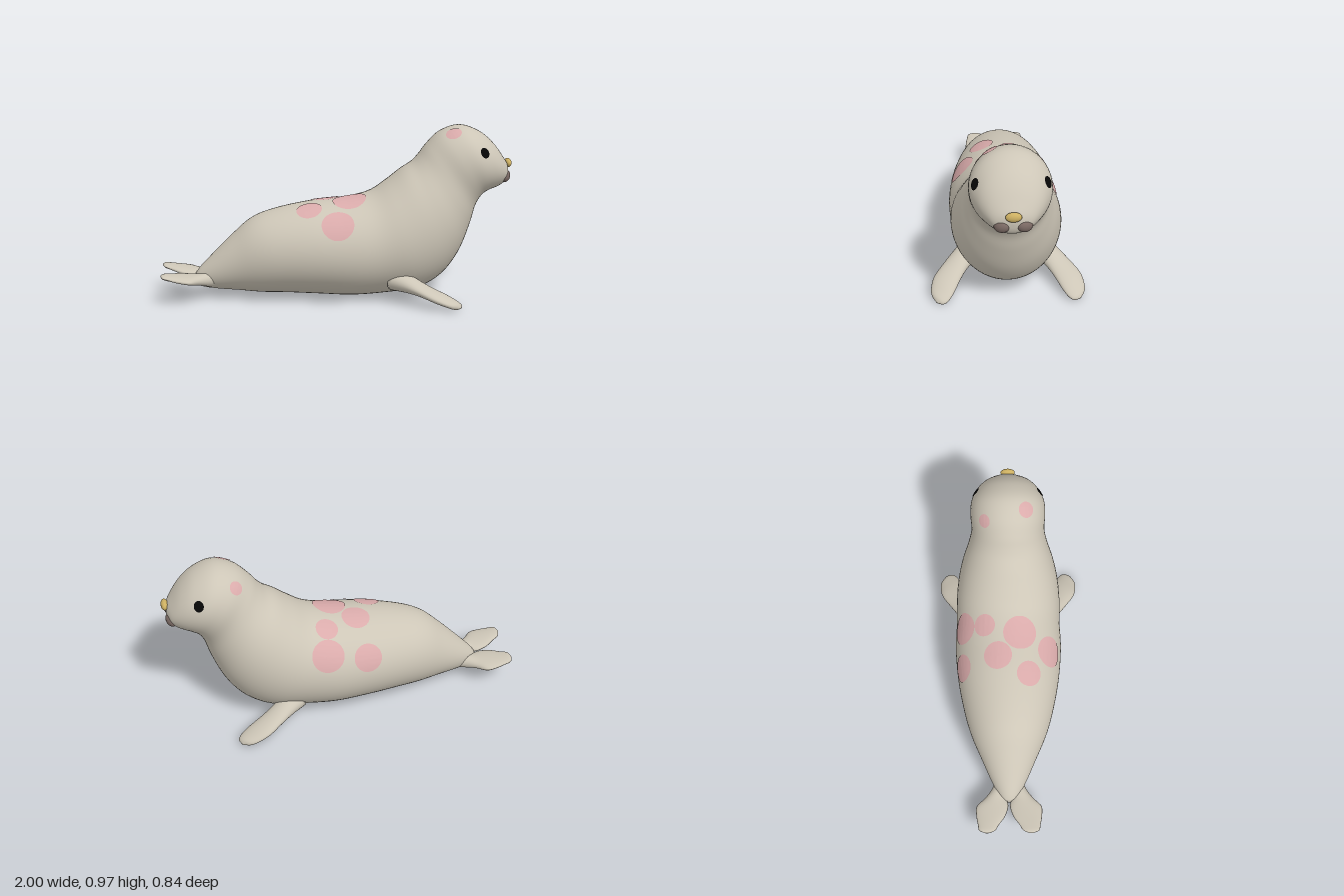
import * as THREE from 'three';

const mat = (name, color) => Object.assign(new THREE.MeshStandardMaterial({ color }), { name });
const V = (x, y, z) => new THREE.Vector3(x, y, z);

// Smooth closed skin through elliptical rings; each ring is { c: centre, a: half axis, b: half axis }
function loft(rings, steps, sides) {
  const curve = key => new THREE.CatmullRomCurve3(rings.map(r => r[key]), false, 'catmullrom');
  const [C, A, B] = ['c', 'a', 'b'].map(curve);
  const pos = [], idx = [];
  const forward = C.getPoint(0.5 + 0.01).sub(C.getPoint(0.5 - 0.01));
  const flip = A.getPoint(0.5).cross(B.getPoint(0.5)).dot(forward) < 0 ? -1 : 1;
  for (let i = 0; i <= steps; i++) {
    const t = i / steps, c = C.getPoint(t), a = A.getPoint(t), b = B.getPoint(t).multiplyScalar(flip);
    for (let j = 0; j < sides; j++) {
      const th = (j / sides) * Math.PI * 2;
      const p = c.clone().addScaledVector(a, Math.cos(th)).addScaledVector(b, Math.sin(th));
      pos.push(p.x, p.y, p.z);
    }
  }
  for (let i = 0; i < steps; i++) for (let j = 0; j < sides; j++) {
    const k = (j + 1) % sides, p = i * sides, q = p + sides;
    idx.push(p + j, p + k, q + j, p + k, q + k, q + j);
  }
  // End caps
  const first = pos.length / 3, last = steps * sides;
  pos.push(...C.getPoint(0).toArray(), ...C.getPoint(1).toArray());
  for (let j = 0; j < sides; j++) {
    const k = (j + 1) % sides;
    idx.push(first, k, j, first + 1, last + j, last + k);
  }
  const g = new THREE.BufferGeometry();
  g.setAttribute('position', new THREE.Float32BufferAttribute(pos, 3));
  g.setIndex(idx);
  g.computeVertexNormals();
  return g;
}

// Thin disc draped on a mesh around the point hit by a ray
function patch(target, origin, dir, ru, rv = ru, up = V(0, 1, 0)) {
  const ray = new THREE.Raycaster(origin, dir.clone().normalize());
  const hit = ray.intersectObject(target)[0];
  if (!hit) return new THREE.BufferGeometry();
  const n = hit.face.normal.clone();
  const u = up.clone().cross(n).normalize(), v = n.clone().cross(u);
  const pos = [], idx = [], R = 6, S = 36;
  const drop = (x, y) => {
    const p = hit.point.clone().addScaledVector(u, x).addScaledVector(v, y);
    ray.set(p.clone().addScaledVector(n, 0.15), n.clone().negate());
    const h = ray.intersectObject(target)[0];
    const q = (h ? h.point : p).clone().addScaledVector(n, 0.004);
    pos.push(q.x, q.y, q.z);
  };
  drop(0, 0);
  for (let r = 1; r <= R; r++) for (let s = 0; s < S; s++) {
    const th = (s / S) * Math.PI * 2, k = (s + 1) % S;
    drop(Math.cos(th) * ru * r / R, Math.sin(th) * rv * r / R);
    const o = 1 + (r - 1) * S, i = o - S;
    if (r === 1) idx.push(0, o + s, o + k);
    else idx.push(i + s, o + s, o + k, i + s, o + k, i + k);
  }
  const g = new THREE.BufferGeometry();
  g.setAttribute('position', new THREE.Float32BufferAttribute(pos, 3));
  g.setIndex(idx);
  g.computeVertexNormals();
  return g;
}

export function createModel() {
  const group = new THREE.Group();
  group.name = 'seal';
  const fur = mat('fur', 0xcdc6b7), pink = mat('pinkSpot', 0xdaabab), black = mat('eyeBlack', 0x060606);
  const gold = mat('noseGold', 0xcdb062), brown = mat('muzzleBrown', 0x7b6a64);
  const add = (name, geo, material) => {
    const m = new THREE.Mesh(geo, material);
    m.name = name;
    group.add(m);
    return m;
  };

  // Body, neck and head: back point (x, y), belly point (x, y), half width
  const sections = [
    [-0.81, 0.15, -0.81, 0.10, 0.03], [-0.78, 0.19, -0.78, 0.075, 0.055],
    [-0.71, 0.262, -0.69, 0.06, 0.10], [-0.60, 0.37, -0.57, 0.05, 0.155],
    [-0.49, 0.463, -0.43, 0.037, 0.212], [-0.36, 0.513, -0.30, 0.034, 0.252],
    [-0.16, 0.553, -0.12, 0.024, 0.29], [0.04, 0.573, 0.08, 0.012, 0.308],
    [0.18, 0.605, 0.28, 0.021, 0.302], [0.28, 0.67, 0.45, 0.042, 0.302],
    [0.36, 0.733, 0.59, 0.12, 0.287], [0.42, 0.772, 0.69, 0.25, 0.26],
    [0.46, 0.815, 0.755, 0.41, 0.226], [0.505, 0.875, 0.785, 0.515, 0.208],
    [0.58, 0.945, 0.82, 0.577, 0.212], [0.69, 0.98, 0.86, 0.605, 0.206],
    [0.80, 0.945, 0.90, 0.62, 0.175], [0.88, 0.88, 0.93, 0.635, 0.14],
    [0.94, 0.80, 0.955, 0.655, 0.098], [0.967, 0.755, 0.967, 0.68, 0.05],
    [0.972, 0.722, 0.972, 0.712, 0.005],
  ];
  const body = add('body', loft(sections.map(([tx, ty, bx, by, w]) => ({
    c: V((tx + bx) / 2, (ty + by) / 2, 0), a: V((tx - bx) / 2, (ty - by) / 2, 0), b: V(0, 0, w),
  })), 100, 56), fur);

  for (const s of [1, -1]) {
    const side = s > 0 ? 'left' : 'right';

    // Front flippers: centre, chord scale, half thickness
    const chord = V(-0.052, 0.012, 0.056 * s);
    const front = [
      [0.31, 0.135, 0.19, 1.0, 0.06], [0.38, 0.12, 0.25, 0.85, 0.045], [0.455, 0.095, 0.30, 0.9, 0.032],
      [0.535, 0.065, 0.345, 1.0, 0.027], [0.59, 0.042, 0.368, 0.88, 0.022],
      [0.625, 0.027, 0.382, 0.6, 0.017], [0.642, 0.02, 0.388, 0.1, 0.004],
    ];
    add(side + 'FrontFlipper', loft(front.map(([x, y, z, k, h]) => ({
      c: V(x, y, z * s), a: V(0.3 * h, h, 0), b: chord.clone().multiplyScalar(k),
    })), 28, 24), fur);

    // Tail flippers
    const tail = [
      [-0.66, 0.13, 0.02, 0.05, 0.05], [-0.73, 0.125, 0.045, 0.05, 0.042], [-0.79, 0.132, 0.075, 0.062, 0.03],
      [-0.84, 0.14, 0.095, 0.09, 0.024], [-0.90, 0.15, 0.105, 0.082, 0.02], [-0.95, 0.16, 0.118, 0.06, 0.016],
      [-0.985, 0.167, 0.125, 0.045, 0.012], [-1.0, 0.17, 0.125, 0.012, 0.004],
    ];
    add(side + 'TailFlipper', loft(tail.map(([x, y, z, w, h]) => ({
      c: V(x, y, z * s), a: V(0, h, 0), b: V(0, 0, w * s),
    })), 30, 24), fur);

    // Eyes
    add(side + 'Eye', patch(body, V(0.8, 0.845, s), V(0, 0, -s), 0.028, 0.031), black);

    // Muzzle pads
    const pad = add(side + 'MuzzlePad', new THREE.SphereGeometry(1, 28, 20), brown);
    pad.scale.set(0.03, 0.035, 0.042);
    pad.position.set(0.947, 0.692, 0.056 * s);
    pad.rotation.set(0.3 * s, -0.35 * s, 0);
  }

  // Nose
  const nose = add('nose', new THREE.SphereGeometry(1, 28, 20), gold);
  nose.scale.set(0.02, 0.026, 0.041);
  nose.position.set(0.975, 0.757, 0);

  // Spots on back and head: x, z, radius
  [
    [-0.02, 0.235, 0.09], [0.06, 0.065, 0.095], [-0.17, 0.115, 0.072], [-0.07, -0.06, 0.08],
    [0.11, -0.135, 0.064], [0.125, -0.255, 0.092], [-0.10, -0.262, 0.08],
    [0.64, 0.10, 0.045], [0.595, -0.13, 0.038],
  ].forEach(([x, z, r], i) => {
    add('spot' + (i + 1), patch(body, V(x, 2, z), V(0, -1, 0), r, r, V(1, 0, 0)), pink);
  });

  return group;
}
